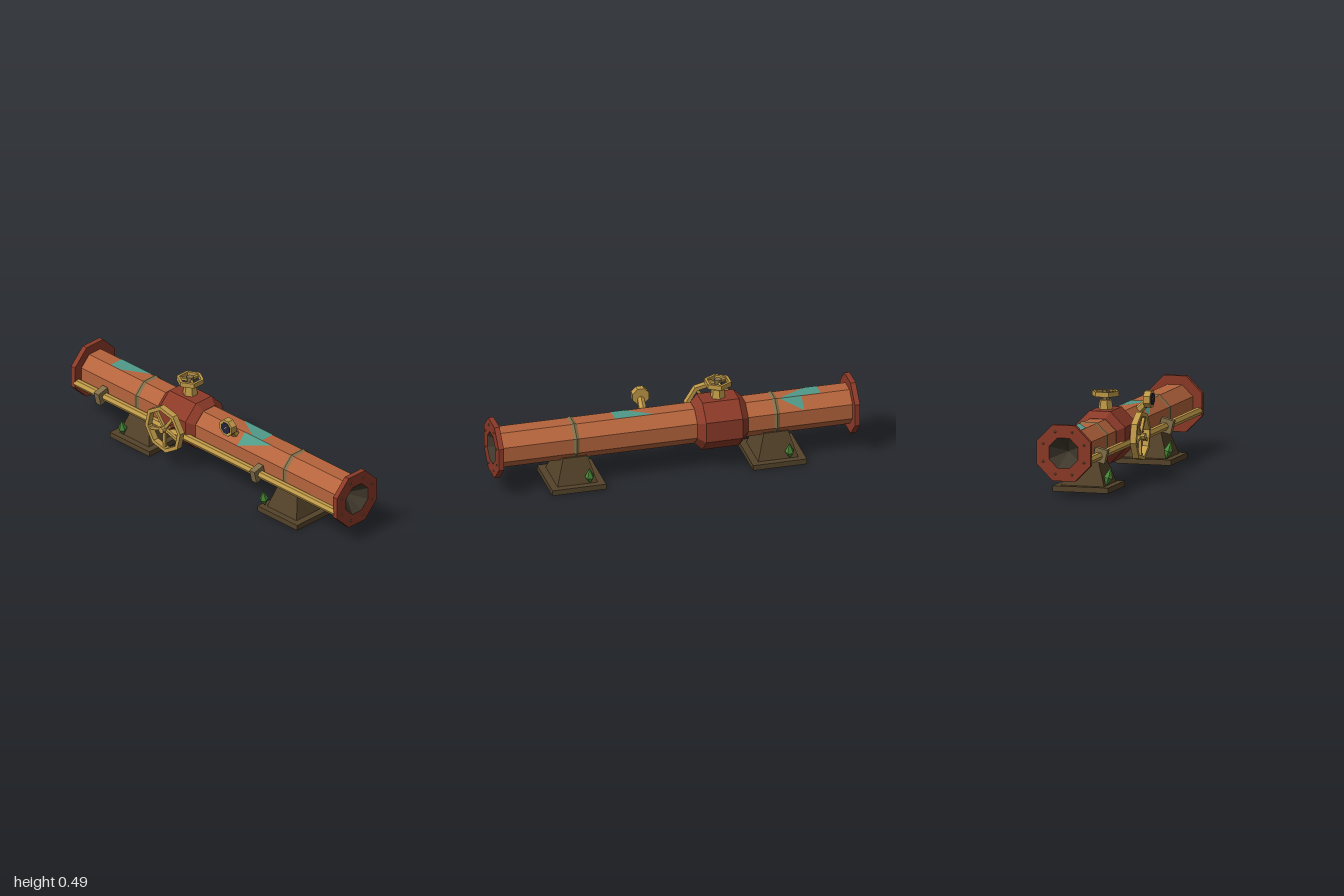
import * as THREE from 'three';

const mat = (name, color) => {
  const m = new THREE.MeshStandardMaterial({ color, flatShading: true });
  m.name = name;
  return m;
};

export function createModel() {
  const copper = mat('copper', 0xb5643c);
  const red = mat('red iron', 0x8c3a28);
  const brass = mat('brass', 0xc09a48);
  const bronze = mat('dull bronze', 0x84704a);
  const brown = mat('dark brown', 0x54432a);
  const bore = mat('dark bore', 0x40382c);
  const green = mat('crystal green', 0x4a8a38);
  const patina = mat('patina', 0x4f9a88);
  const navy = mat('gauge face', 0x1e2240);

  const root = new THREE.Group();
  const AY = 0.25, AZ = -0.0325, R = 0.11, APO = R * Math.cos(Math.PI / 8);

  const add = (parent, name, geo, material, x = 0, y = 0, z = 0) => {
    const m = new THREE.Mesh(geo, material);
    m.name = name;
    m.position.set(x, y, z);
    parent.add(m);
    return m;
  };
  const group = (name, parent, x = 0, y = 0, z = 0) => {
    const g = new THREE.Group();
    g.name = name;
    g.position.set(x, y, z);
    parent.add(g);
    return g;
  };
  // Octagonal lathe around the x axis, flats facing up and forward; points are [radius, x]
  const octLathe = (pts) => {
    const g = new THREE.LatheGeometry(pts.map(p => new THREE.Vector2(...p)), 8, Math.PI / 8);
    return g.rotateZ(-Math.PI / 2);
  };

  // Everything coaxial with the pipe lives in this group
  const pipe = group('pipeAssembly', root, 0, AY, AZ);
  add(pipe, 'pipe', octLathe([[R, -0.97], [R, 0.97]]), copper);
  add(pipe, 'valveBody', octLathe([[0.105, -0.14], [0.112, -0.14], [0.15, -0.1],
    [0.15, 0.1], [0.112, 0.14], [0.105, 0.14]]), red, -0.252);
  for (const x of [-0.552, 0.552])
    add(pipe, 'seamBand', octLathe([[0.108, -0.02], [0.117, 0], [0.108, 0.02]]), bronze, x);

  // End flanges with dark bore and bolts
  for (const s of [1, -1]) {
    const end = group('flangeEnd', pipe);
    if (s < 0) end.rotation.y = Math.PI;
    add(end, 'flange', octLathe([[0.1, 0.965], [0.1625, 0.965], [0.1625, 0.994], [0.088, 0.994]]), red);
    add(end, 'bore', octLathe([[0.088, 0.994], [0, 0.9]]), bore);
    for (let i = 0; i < 8; i++) {
      const a = Math.PI / 8 + i * Math.PI / 4;
      const g = new THREE.ConeGeometry(0.011, 0.01, 6).rotateZ(-Math.PI / 2);
      add(end, 'flangeBolt', g, bronze, 0.995, Math.sin(a) * 0.123, Math.cos(a) * 0.123);
    }
  }

  // Patina patches: thin polygons [x, t] on a pipe face tilted by the given angle
  const patch = (tilt, pts) => {
    const shape = new THREE.Shape(pts.map(p => new THREE.Vector2(...p)));
    const g = new THREE.ShapeGeometry(shape).translate(0, 0, APO + 0.002).rotateX(-tilt);
    add(pipe, 'patinaPatch', g, patina);
  };
  patch(Math.PI / 2, [[0.11, 0.042], [0.325, 0.042], [0.325, -0.042], [0.255, -0.042]]);
  patch(Math.PI / 4, [[0.2, 0.042], [0.4, 0.042], [0.2, -0.042]]);
  patch(Math.PI / 2, [[-0.805, 0.042], [-0.58, 0.042], [-0.735, -0.042], [-0.805, -0.042]]);
  patch(Math.PI * 3 / 4, [[-0.7, -0.042], [-0.58, -0.042], [-0.7, 0.042]]);

  // Handwheel facing +z: polygonal rim, hub and spokes
  const handwheel = (name, n, r, rim, depth, spokes, turn, spokeW) => {
    const g = group(name, root);
    const ring = (C, rad) => {
      const c = new C();
      c.setFromPoints(Array.from({ length: n }, (_, i) => {
        const a = turn + i * Math.PI * 2 / n;
        return new THREE.Vector2(Math.cos(a) * rad, Math.sin(a) * rad);
      }));
      return c;
    };
    const shape = ring(THREE.Shape, r);
    shape.holes.push(ring(THREE.Path, r - rim));
    add(g, 'rim', new THREE.ExtrudeGeometry(shape, { depth, bevelEnabled: false })
      .translate(0, 0, -depth / 2), brass);
    const len = r - rim * 1.2;
    for (let i = 0; i < spokes; i++) {
      const geo = new THREE.BoxGeometry(len, spokeW, spokeW)
        .translate(len / 2, 0, 0).rotateZ(turn + i * Math.PI * 2 / spokes);
      add(g, 'spoke', geo, brass);
    }
    return g;
  };

  // Front wheel on its red stem
  const front = handwheel('frontHandwheel', 8, 0.134, 0.022, 0.034, 5, 0.17 + Math.PI / 4, 0.016);
  front.position.set(-0.252, AY, 0.16);
  add(front, 'hub', new THREE.CylinderGeometry(0.018, 0.018, 0.055, 8).rotateX(Math.PI / 2), brass, 0, 0, 0.002);
  add(front, 'wheelStem', new THREE.CylinderGeometry(0.014, 0.03, 0.07, 8).rotateX(Math.PI / 2), red, 0, 0, -0.045);

  // Top wheel on its bonnet
  const top = handwheel('topHandwheel', 6, 0.075, 0.016, 0.027, 3, Math.PI / 2, 0.014);
  top.rotation.x = -Math.PI / 2;
  top.position.set(-0.252, 0.4715, AZ);
  add(root, 'bonnet', new THREE.CylinderGeometry(0.034, 0.042, 0.057, 6), brass, -0.252, 0.4085, AZ);
  add(root, 'topStem', new THREE.CylinderGeometry(0.021, 0.021, 0.06, 6), bronze, -0.252, 0.461, AZ);

  // Pressure gauge on a slanted stem
  const gauge = group('gauge', root, 0.145, 0.392, 0.083);
  const oct = (r, d) => new THREE.CylinderGeometry(r, r, d, 8, 1, false, Math.PI / 8).rotateX(Math.PI / 2);
  add(gauge, 'gaugeCase', oct(0.0485, 0.037), brass);
  add(gauge, 'gaugeDial', oct(0.034, 0.004), navy, 0, 0, 0.0195);
  const needle = add(gauge, 'gaugeNeedle', new THREE.BoxGeometry(0.004, 0.026, 0.003), brass, 0.004, 0.006, 0.0225);
  needle.rotation.z = -0.7;
  const stem = add(gauge, 'gaugeStem', new THREE.CylinderGeometry(0.02, 0.024, 0.09, 6), brass, 0, -0.04, -0.034);
  stem.rotation.x = Math.PI / 4;

  // Side conduit with its clips
  add(root, 'conduit', new THREE.CylinderGeometry(0.022, 0.022, 1.94, 6).rotateZ(Math.PI / 2),
    brass, 0, 0.214, 0.1);
  for (const x of [-0.776, 0.388])
    add(root, 'conduitClip', new THREE.BoxGeometry(0.037, 0.075, 0.07), bronze, x, 0.217, 0.106).rotation.x = 0.24;

  // Support stands
  for (const x of [-0.552, 0.552]) {
    const stand = group('supportStand', root, x, 0, AZ);
    add(stand, 'standBase', new THREE.BoxGeometry(0.296, 0.03, 0.31), brown, 0, 0.015);
    const g = new THREE.CylinderGeometry(0.61 * Math.SQRT2, Math.SQRT2, 0.14, 4, 1, false, Math.PI / 4)
      .scale(0.11, 1, 0.12);
    add(stand, 'standPillar', g, brown, 0, 0.1);
  }

  // Crystals growing at the stands, leaning outward
  for (const [x, z, lean] of [[-0.63, 0.088, 0.25], [0.427, 0.088, 0.25],
    [-0.615, -0.153, -0.22], [0.485, -0.153, -0.22]]) {
    const g = new THREE.LatheGeometry([[0, 0], [0.025, 0.048], [0, 0.109]]
      .map(p => new THREE.Vector2(...p)), 5);
    add(root, 'crystal', g, green, x, 0.028, z).rotation.set(lean, 0, -0.08);
  }

  return root;
}
